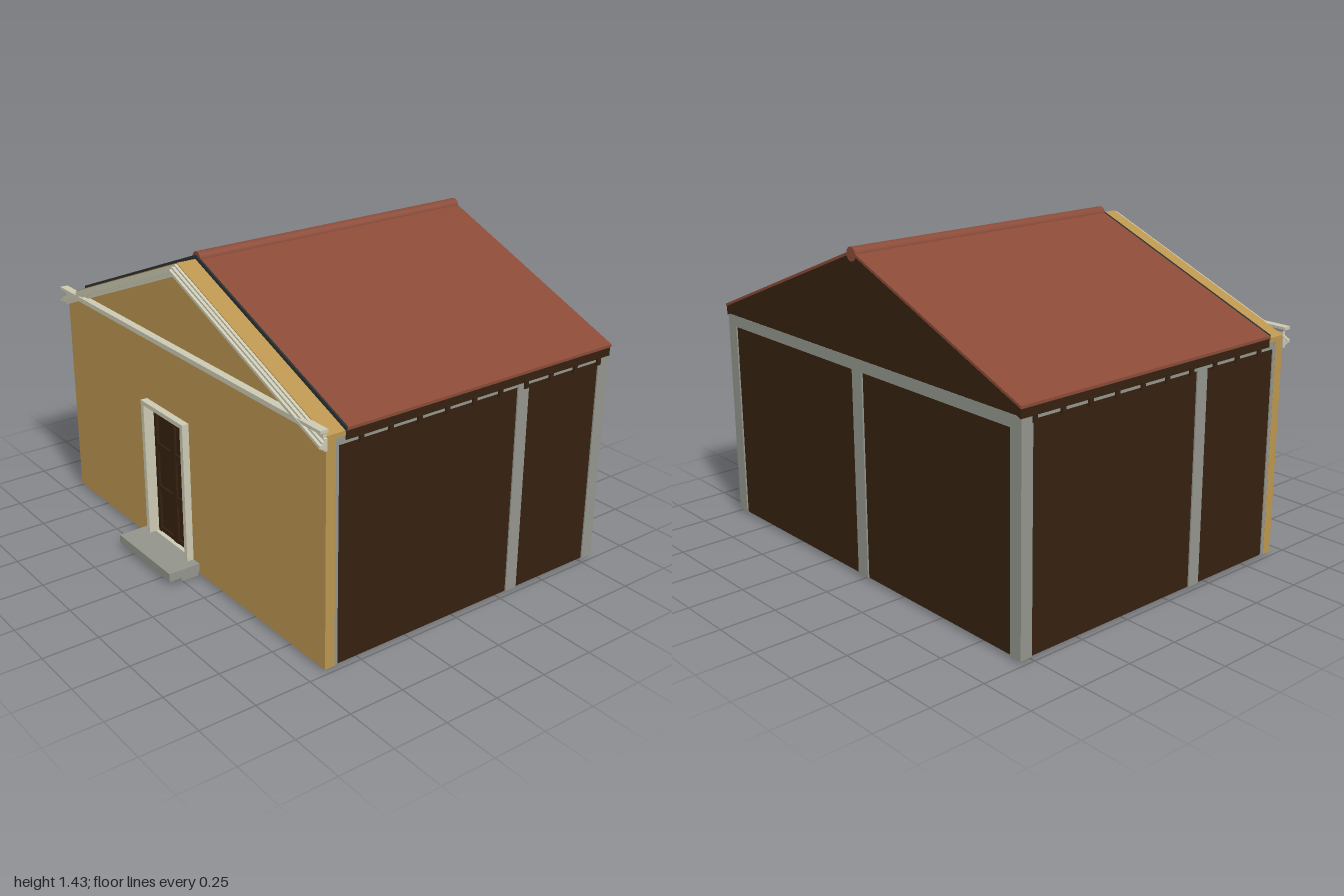
import * as THREE from 'three';

const mat = (name, color) => {
  const m = new THREE.MeshStandardMaterial({ color });
  m.name = name;
  return m;
};

export function createModel() {
  const plaster = mat('ochre plaster', 0xba954f);
  const tile = mat('red roof tile', 0x8a4a37);
  const wood = mat('dark wood', 0x35210f);
  const stone = mat('grey stone', 0x92948c);
  const cream = mat('cream trim', 0xcbc9b2);
  const slate = mat('dark flashing', 0x2c3133);

  const house = new THREE.Group();
  house.name = 'house';
  const SLOPE = 0.4;

  const add = (name, geo, material) => {
    const m = new THREE.Mesh(geo, material);
    m.name = name;
    house.add(m);
    return m;
  };
  // Box given by its limits on each axis
  const box = (name, material, x0, x1, y0, y1, z0, z1) => {
    const m = add(name, new THREE.BoxGeometry(x1 - x0, y1 - y0, z1 - z0), material);
    m.position.set((x0 + x1) / 2, (y0 + y1) / 2, (z0 + z1) / 2);
    return m;
  };
  const outline = (pts) => new THREE.Shape(pts.map(([x, y]) => new THREE.Vector2(x, y)));
  const slab = (name, material, shape, z0, z1) => {
    const geo = new THREE.ExtrudeGeometry(shape, { depth: z1 - z0, bevelEnabled: false });
    geo.translate(0, 0, z0);
    return add(name, geo, material);
  };
  // Inverted V following the roof pitch
  const chevron = (name, material, top, thick, w, z0, z1) => {
    const e = top - SLOPE * w;
    slab(name, material, outline([
      [-w, e], [-w, e - thick], [0, top - thick], [w, e - thick], [w, e], [0, top],
    ]), z0, z1);
  };

  // Front wall with door opening, and its parapet over the roof edge
  const front = outline([[-0.99, 0.015], [0.99, 0.015], [0.99, 1.004], [0, 1.4], [-0.99, 1.004]]);
  front.holes.push(new THREE.Path([
    [-0.285, 0.05], [-0.285, 0.7], [0.035, 0.7], [0.035, 0.05],
  ].map(([x, y]) => new THREE.Vector2(x, y))));
  slab('frontWall', plaster, front, 0.625, 0.67);
  chevron('parapet', plaster, 1.4, 0.02, 0.99, 0.58, 0.63);

  // Side walls with grey framing; the middle post differs per side
  for (const s of [-1, 1]) {
    const side = (name, material, a, b, y0, y1, z0, z1) =>
      box(name, material, Math.min(s * a, s * b), Math.max(s * a, s * b), y0, y1, z0, z1);
    side('sideWall', wood, 0.955, 0.984, 0.015, 0.97, -0.79, 0.612);
    side('frontPost', stone, 0.955, 0.989, 0.015, 1.0, 0.61, 0.626);
    side('postCap', stone, 0.955, 0.988, 0.955, 1.0, 0.58, 0.625);
    side('rearPost', stone, 0.93, 0.99, 0.015, 0.97, -0.812, -0.755);
    const mid = s > 0 ? -0.32 : 0.16;
    side('middlePost', stone, 0.965, 0.99, 0.015, 0.97, mid - 0.03, mid + 0.03);
    side('sideBeam', stone, 0.96, 0.988, 0.952, 0.975, -0.8, 0.61);
    for (let i = 0; i < 10; i++) {
      const z = 0.51 - i * 0.14;
      side('rafterTail', wood, 0.94, 0.998, 0.94, 0.975, z - 0.01, z + 0.01);
    }
  }

  // Back wall, its framing and gable
  box('backWall', wood, -0.96, 0.96, 0.015, 0.97, -0.805, -0.775);
  box('backPost', stone, -0.033, 0.033, 0.015, 0.96, -0.812, -0.79);
  box('backBeam', stone, -0.98, 0.98, 0.92, 0.972, -0.812, -0.79);
  slab('backGable', wood, outline([[-0.98, 0.97], [0.98, 0.97], [0, 1.375]]), -0.811, -0.78);

  // Roof: boards, tiles, front flashing, ridge cap
  chevron('roofBoards', wood, 1.403, 0.04, 0.992, -0.817, 0.58);
  chevron('roofTiles', tile, 1.415, 0.012, 0.996, -0.82, 0.576);
  chevron('roofFlashing', slate, 1.417, 0.02, 0.994, 0.574, 0.582);
  const ridge = add('ridgeCap', new THREE.CylinderGeometry(0.03, 0.03, 1.396, 16), tile);
  ridge.rotation.x = Math.PI / 2;
  ridge.position.set(0, 1.4, -0.122);

  // Stepped mouldings of the pediment
  chevron('rakeLower', cream, 1.396, 0.05, 0.995, 0.668, 0.682);
  chevron('rakeMiddle', cream, 1.388, 0.03, 0.997, 0.68, 0.695);
  chevron('rakeUpper', cream, 1.379, 0.013, 1.0, 0.69, 0.707);
  box('corniceLower', cream, -0.99, 0.99, 1.0, 1.018, 0.668, 0.684);
  box('corniceGroove', stone, -0.99, 0.99, 1.016, 1.026, 0.668, 0.688);
  box('corniceUpper', cream, -1.0, 1.0, 1.024, 1.037, 0.668, 0.704);

  // Door frame
  box('frameJamb', cream, -0.297, -0.275, 0.06, 0.71, 0.615, 0.702);
  box('frameJamb', cream, 0.022, 0.044, 0.06, 0.71, 0.615, 0.702);
  box('frameHead', cream, -0.275, 0.022, 0.69, 0.71, 0.615, 0.702);
  box('threshold', cream, -0.297, 0.044, 0.045, 0.063, 0.615, 0.68);

  // Door leaf with raised stiles and rails
  box('doorLeaf', wood, -0.277, 0.024, 0.06, 0.692, 0.622, 0.642);
  for (const [x0, x1] of [[-0.277, -0.255], [-0.144, -0.109], [0.002, 0.024]])
    box('doorStile', wood, x0, x1, 0.062, 0.692, 0.64, 0.653);
  for (const [y0, y1] of [[0.062, 0.085], [0.255, 0.295], [0.465, 0.502], [0.67, 0.692]])
    box('doorRail', wood, -0.256, 0.003, y0, y1, 0.64, 0.65);

  // Entrance steps
  box('upperStep', stone, -0.34, 0.09, 0.024, 0.063, 0.67, 0.82);
  box('lowerStep', stone, -0.33, 0.08, 0, 0.025, 0.67, 0.757);

  return house;
}
